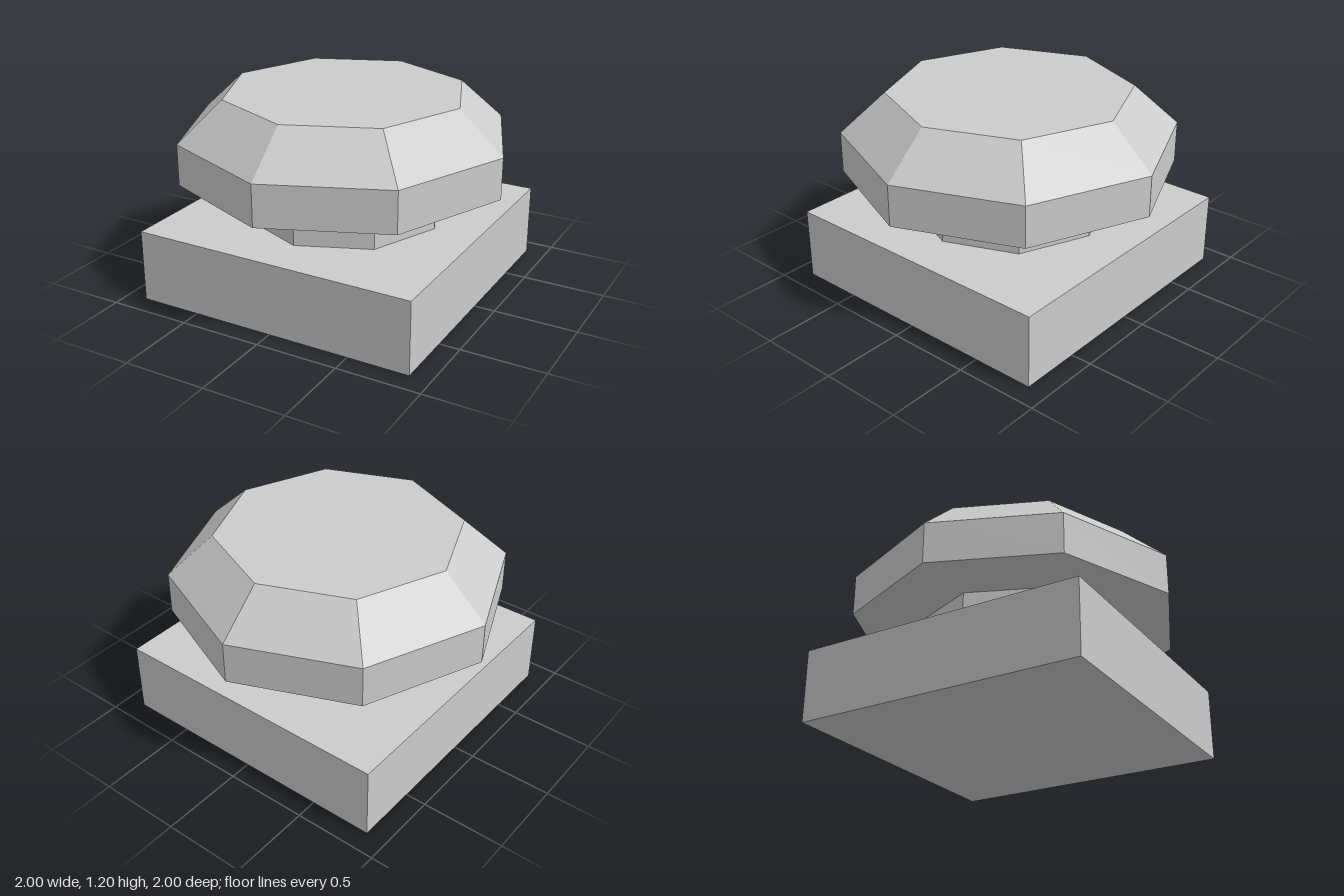
import * as THREE from 'three';

const SIDES = 8;

export function createModel() {
  const group = new THREE.Group();
  const material = new THREE.MeshStandardMaterial({ color: 0xcccccc, flatShading: true });

  function add(name, geometry, y = 0) {
    const mesh = new THREE.Mesh(geometry, material);
    mesh.name = name;
    mesh.position.y = y;
    group.add(mesh);
  }

  // Square base plate
  const baseHeight = 0.44;
  add('base', new THREE.BoxGeometry(1.75, baseHeight, 1.75), baseHeight / 2);

  // Octagonal stem between base and cap
  const capBottom = 0.705;
  const stemHeight = capBottom - baseHeight;
  add('stem', new THREE.CylinderGeometry(0.6, 0.6, stemHeight, SIDES), baseHeight + stemHeight / 2);

  // Octagonal button cap with a bevelled top, profile from bottom to top
  const profile = [
    [0, capBottom], [1, capBottom], [1, 0.955], [0.73, 1.2], [0, 1.2],
  ].map(([r, y]) => new THREE.Vector2(r, y));
  add('cap', new THREE.LatheGeometry(profile, SIDES));

  return group;
}
